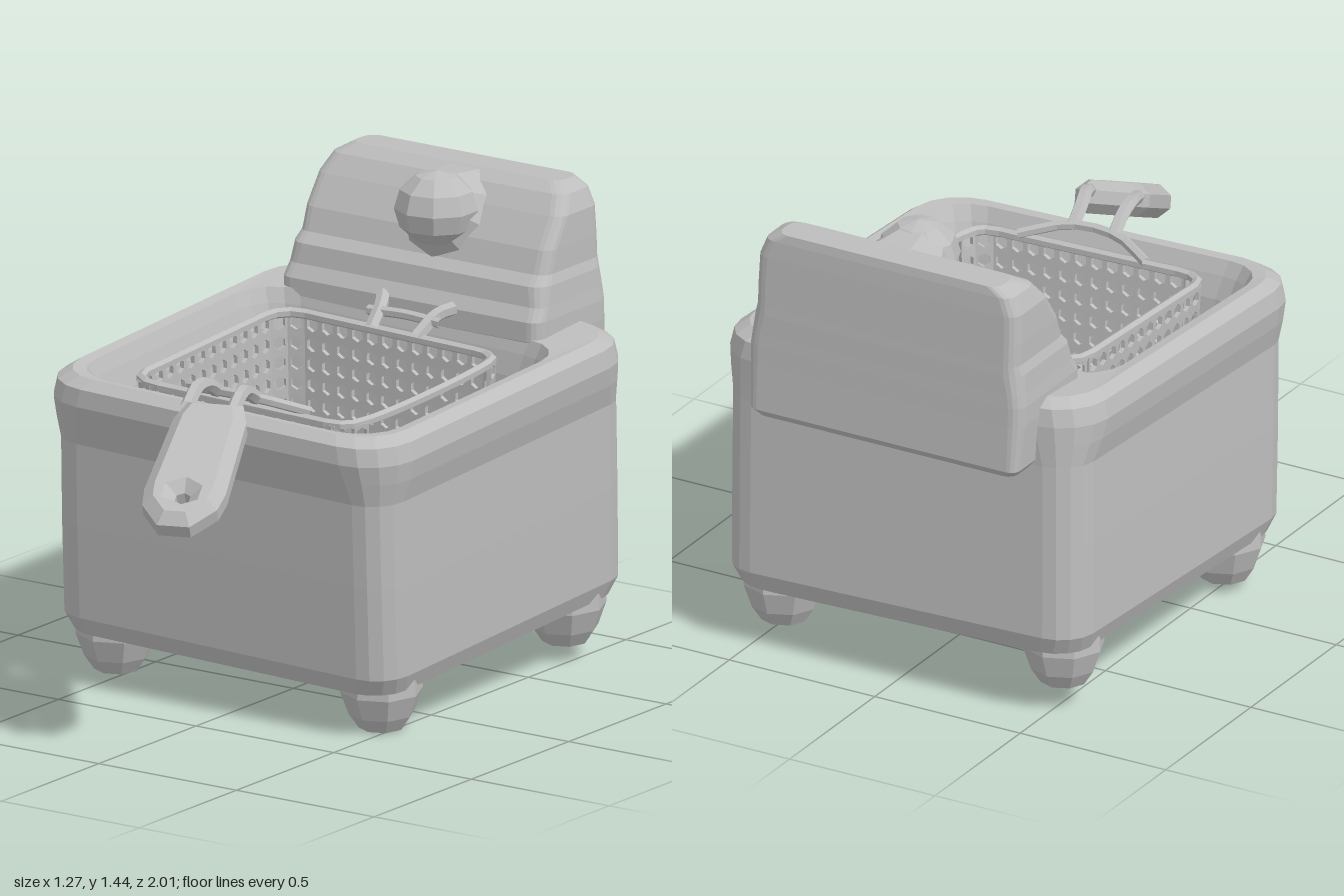
import * as THREE from 'three';
import { mergeGeometries } from 'three/addons/utils/BufferGeometryUtils.js';

const steel = new THREE.MeshStandardMaterial({ color: 0xbdbdbd });
steel.name = 'grey steel';

// Faceted mesh with one normal per face
function part(name, geometry, parent) {
  const g = geometry.index ? geometry.toNonIndexed() : geometry;
  g.computeVertexNormals();
  const mesh = new THREE.Mesh(g, steel);
  mesh.name = name;
  parent.add(mesh);
  return mesh;
}

// Closed skin through rounded-rectangle rings [halfWidth, zFront, zBack, cornerRadius, y]
function loft(rings, cx = 0) {
  const seg = 4, count = 4 * (seg + 1), pos = [], index = [];
  const cap = ([, f, b, , y]) => [0, (f + b) / 2, (f + b) / 2, 0, y];
  const all = [cap(rings[0]), ...rings, cap(rings[rings.length - 1])];
  for (const [hx, zf, zb, r, y] of all) {
    for (let q = 0; q < 4; q++) {
      const sx = q === 0 || q === 3 ? 1 : -1;
      const z = q < 2 ? zf - r : zb + r;
      for (let k = 0; k <= seg; k++) {
        const a = (q + k / seg) * Math.PI / 2;
        pos.push(cx + sx * (hx - r) + r * Math.cos(a), y, z + r * Math.sin(a));
      }
    }
  }
  for (let i = 0; i < all.length - 1; i++) {
    for (let j = 0; j < count; j++) {
      const a = i * count + j, b = i * count + (j + 1) % count;
      index.push(a, a + count, b, b, a + count, b + count);
    }
  }
  const g = new THREE.BufferGeometry();
  g.setAttribute('position', new THREE.Float32BufferAttribute(pos, 3));
  g.setIndex(index);
  return g;
}

function polygonHole(x, y, r, sides) {
  const pts = [];
  for (let i = 0; i < sides; i++) {
    const a = -(i + 0.5) / sides * Math.PI * 2;
    pts.push(new THREE.Vector2(x + r * Math.cos(a), y + r * Math.sin(a)));
  }
  return new THREE.Path(pts);
}

// Rectangular sheet pierced by a grid of holes, lower-left corner at the origin
function meshSheet(w, h, cols, rows, depth) {
  const shape = new THREE.Shape([[0, 0], [w, 0], [w, h], [0, h]].map(([x, y]) => new THREE.Vector2(x, y)));
  const cw = w / cols, ch = h / rows;
  for (let i = 0; i < cols; i++) {
    for (let j = 0; j < rows; j++) {
      shape.holes.push(polygonHole((i + 0.5) * cw, (j + 0.5) * ch, 0.4 * Math.min(cw, ch), 6));
    }
  }
  return new THREE.ExtrudeGeometry(shape, { depth, bevelEnabled: false });
}

function tube(points, r, closed = false, n = 8) {
  const curve = new THREE.CatmullRomCurve3(points.map(p => new THREE.Vector3(...p)), closed, 'centripetal');
  return new THREE.TubeGeometry(curve, n, r, 6, closed);
}

function roundedPath(hx, hz, r) {
  const p = new THREE.Path();
  p.moveTo(hx, -hz + r);
  p.absarc(hx - r, hz - r, r, 0, Math.PI / 2);
  p.absarc(-hx + r, hz - r, r, Math.PI / 2, Math.PI);
  p.absarc(-hx + r, -hz + r, r, Math.PI, Math.PI * 1.5);
  p.absarc(hx - r, -hz + r, r, Math.PI * 1.5, Math.PI * 2);
  return p;
}

function buildBasket() {
  const basket = new THREE.Group();
  basket.name = 'basket';
  const hx = 0.4, hz = 0.39, h = 0.37, cols = 44;
  const outline = roundedPath(hx, hz, 0.08).getSpacedPoints(cols);

  // Pierced columns set around the rounded outline, narrowing downwards
  const columns = [];
  for (let i = 0; i < cols; i++) {
    const a = outline[i], edge = outline[i + 1].clone().sub(a), w = edge.length();
    const column = meshSheet(w, h, 1, 6, 0.014);
    const p = column.attributes.position;
    for (let k = 0; k < p.count; k++) {
      const u = p.getX(k) / w, d = p.getZ(k) / w, s = 0.96 + 0.04 * p.getY(k) / h;
      p.setX(k, (a.x + edge.x * u + edge.y * d) * s);
      p.setZ(k, -(a.y + edge.y * u - edge.x * d) * s);
    }
    columns.push(column);
  }
  part('basketWall', mergeGeometries(columns), basket);

  const fw = hx * 1.88, fd = hz * 1.88;
  const floor = meshSheet(fw, fd, 12, 12, 0.015);
  floor.translate(-fw / 2, -fd / 2, 0);
  floor.rotateX(-Math.PI / 2);
  part('basketFloor', floor, basket);

  const rim = outline.slice(0, -1).map(c => [c.x, h, -c.y]);
  part('basketRim', tube(rim, 0.016, true, 60), basket);
  return basket;
}

function buildHandle() {
  const handle = new THREE.Group();
  handle.name = 'handle';
  // Wires from the basket rim to the grip
  part('handleBrace', tube([[-0.2, 0.95, 0.25], [-0.06, 0.975, 0.32], [0.1, 0.975, 0.32], [0.24, 0.94, 0.25]], 0.016), handle);
  part('handleWire', tube([[-0.05, 0.975, 0.32], [-0.04, 1.01, 0.38], [-0.025, 1.02, 0.46], [0.01, 0.99, 0.56]], 0.022), handle);
  part('handleWire', tube([[0.09, 0.975, 0.32], [0.1, 1.01, 0.38], [0.125, 1.02, 0.45], [0.16, 0.98, 0.55]], 0.022), handle);

  // Bevelled grip with a hanging hole
  const half = [[0.085, 0], [0.112, 0.08], [0.125, 0.4], [0.115, 0.47], [0.05, 0.555]];
  const outline = [...half, ...half.map(([x, y]) => [-x, y]).reverse()];
  const shape = new THREE.Shape(outline.map(([x, y]) => new THREE.Vector2(x, y)));
  shape.holes.push(polygonHole(0, 0.43, 0.025, 6));
  const grip = new THREE.ExtrudeGeometry(shape, {
    depth: 0.04, bevelThickness: 0.03, bevelSize: 0.035, bevelOffset: -0.035, bevelSegments: 1,
  });
  grip.translate(0, 0, -0.02);
  const along = new THREE.Vector3(0.18, -0.245, 0.48).normalize();
  const across = new THREE.Vector3(-along.z, 0, along.x).normalize();
  const up = new THREE.Vector3().crossVectors(across, along);
  grip.applyMatrix4(new THREE.Matrix4().makeBasis(across, along, up).setPosition(0.085, 0.985, 0.515));
  part('handleGrip', grip, handle);
  return handle;
}

export function createModel() {
  const model = new THREE.Group();
  model.name = 'deepFryer';

  // The tub leans forward and sideways a little
  const tub = new THREE.Group();
  tub.name = 'tub';
  tub.rotation.set(0.05, 0, -0.025);
  model.add(tub);

  // Outer wall, rolled rim, then down into the well
  part('body', loft([
    [0.55, 0.29, -0.87, 0.10, 0.14],
    [0.59, 0.33, -0.90, 0.11, 0.155],
    [0.612, 0.35, -0.92, 0.11, 0.21],
    [0.612, 0.358, -0.92, 0.11, 0.50],
    [0.61, 0.362, -0.92, 0.11, 0.76],
    [0.628, 0.38, -0.925, 0.14, 0.83],
    [0.637, 0.395, -0.93, 0.16, 0.89],
    [0.625, 0.39, -0.925, 0.16, 0.945],
    [0.59, 0.355, -0.89, 0.15, 0.97],
    [0.555, 0.325, -0.675, 0.14, 0.965],
    [0.535, 0.305, -0.66, 0.13, 0.92],
    [0.51, 0.285, -0.645, 0.12, 0.85],
    [0.465, 0.26, -0.62, 0.12, 0.5],
  ], -0.025), tub);

  // Four stubby feet
  const footProfile = [[0, 0.012], [0.07, 0.015], [0.1, 0.06], [0.125, 0.13], [0.12, 0.2], [0, 0.2]]
    .map(([x, y]) => new THREE.Vector2(x, y));
  for (const x of [-0.505, 0.455]) {
    for (const z of [0.19, -0.755]) {
      part('foot', new THREE.LatheGeometry(footProfile, 8), tub).position.set(x, 0, z);
    }
  }

  const basket = buildBasket();
  basket.position.set(-0.025, 0.57, -0.168);
  tub.add(basket);

  // Control housing behind the well
  part('controlHousing', loft([
    [0.44, -0.86, -0.98, 0.03, 0.81],
    [0.46, -0.80, -1.0, 0.03, 0.835],
    [0.47, -0.62, -0.992, 0.04, 0.98],
    [0.47, -0.62, -0.99, 0.04, 1.04],
    [0.465, -0.645, -0.988, 0.04, 1.08],
    [0.46, -0.655, -0.986, 0.05, 1.14],
    [0.45, -0.685, -0.984, 0.04, 1.17],
    [0.45, -0.71, -0.98, 0.04, 1.24],
    [0.447, -0.77, -0.975, 0.04, 1.33],
    [0.425, -0.815, -0.97, 0.04, 1.385],
    [0.38, -0.86, -0.965, 0.04, 1.412],
  ], -0.022), model);

  // Round knob on a flared neck
  const knob = new THREE.SphereGeometry(0.125, 9, 6);
  knob.scale(1.03, 0.92, 1);
  part('knob', knob, model).position.set(0.025, 1.315, -0.7);
  const neck = part('knobNeck', new THREE.CylinderGeometry(0.11, 0.18, 0.13, 9), model);
  neck.position.set(0.02, 1.29, -0.755);
  neck.rotation.x = 1.05;

  // Hooks holding the rear of the basket
  for (const s of [-1, 1]) {
    part('basketHook', tube([[0.01 + s * 0.13, 1.04, -0.63], [0.01 + s * 0.1, 1.025, -0.58], [0.01 + s * 0.08, 0.97, -0.5]], 0.022), model);
  }
  part('hookBar', tube([[-0.12, 1.01, -0.555], [0.01, 1.015, -0.56], [0.14, 1.01, -0.555]], 0.016), model);

  model.add(buildHandle());
  return model;
}
